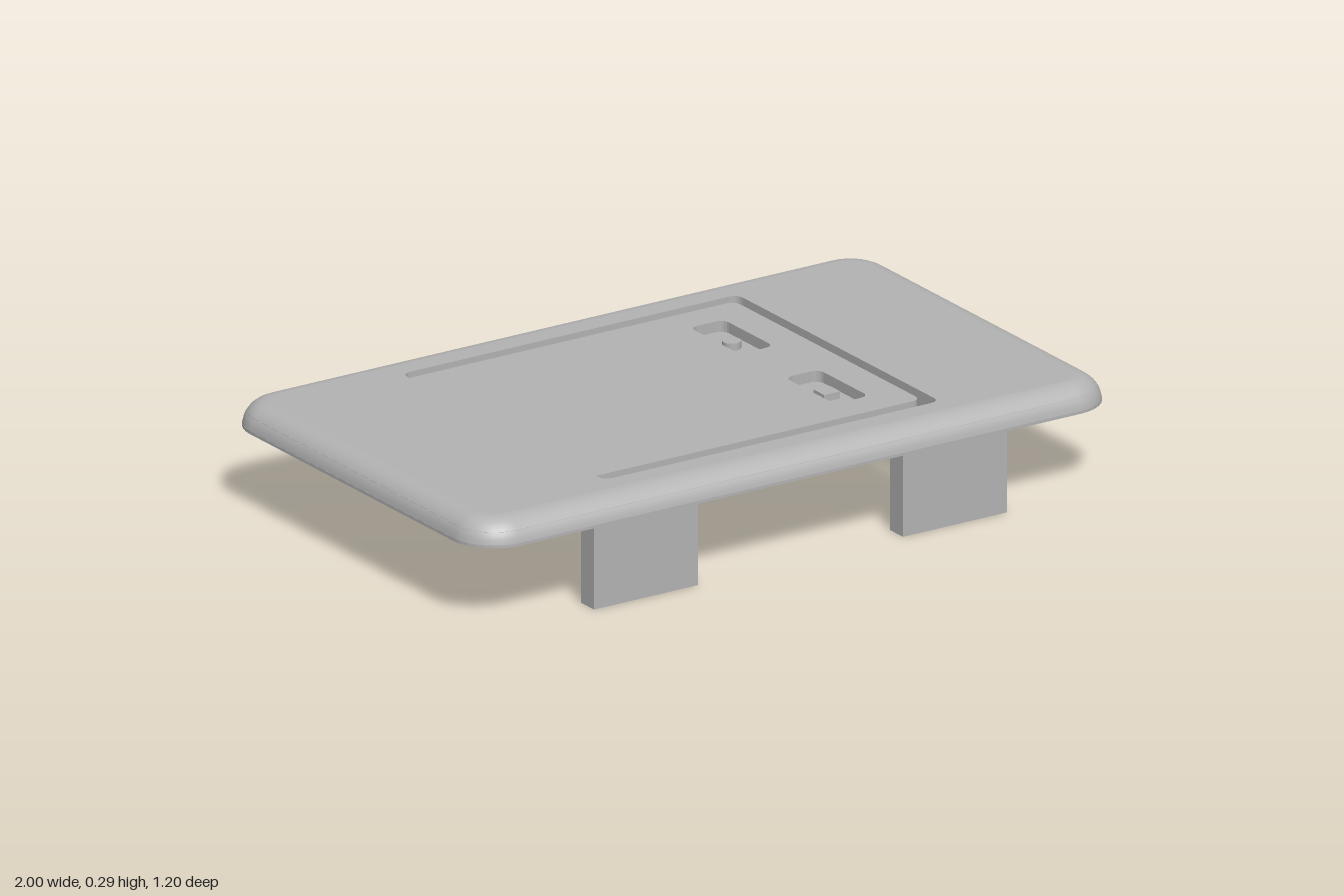
import * as THREE from 'three';

const R = 0.07, BASE = 0.225, TOP = 0.295, FLOOR = 0.233, POCKET = 0.265;

// Counter-clockwise outline points of a rounded rectangle
function roundedRect(cx, cy, hx, hy, r, seg = 8) {
  const pts = [];
  [[1, 1], [-1, 1], [-1, -1], [1, -1]].forEach(([sx, sy], q) => {
    for (let i = 0; i <= seg; i++) {
      const a = (q + i / seg) * Math.PI / 2;
      pts.push(new THREE.Vector2(cx + sx * (hx - r) + r * Math.cos(a), cy + sy * (hy - r) + r * Math.sin(a)));
    }
  });
  return pts;
}

const plateOutline = (inset) => roundedRect(0, 0, 1 - inset, 0.6 - inset, 0.125 - inset);

// U-shaped slot that frees the tongue
function slotPath() {
  const p = new THREE.Path(), o = 0.472, n = 0.435, r = 0.03;
  p.moveTo(-0.5, -o);
  p.lineTo(0.52 - r, -o);
  p.quadraticCurveTo(0.52, -o, 0.52, -o + r);
  p.lineTo(0.52, o - r);
  p.quadraticCurveTo(0.52, o, 0.52 - r, o);
  p.lineTo(-0.5, o);
  p.quadraticCurveTo(-0.53, o, -0.53, n);
  p.lineTo(0.487 - r, n);
  p.quadraticCurveTo(0.487, n, 0.487, n - r);
  p.lineTo(0.487, -n + r);
  p.quadraticCurveTo(0.487, -n, 0.487 - r, -n);
  p.lineTo(-0.53, -n);
  p.quadraticCurveTo(-0.53, -o, -0.5, -o);
  return p;
}

// Horizontal slab between two heights, with holes
function slab(points, holes, y0, y1) {
  const shape = new THREE.Shape(points);
  shape.holes.push(...holes);
  const g = new THREE.ExtrudeGeometry(shape, { depth: y1 - y0, bevelEnabled: false, curveSegments: 6 });
  return g.rotateX(-Math.PI / 2).translate(0, y0, 0);
}

// Quarter-round border lofted from inset outlines
function roundedBorder() {
  const steps = 8, pos = [], idx = [];
  const start = Math.asin((FLOOR - BASE) / R);
  let n = 0;
  for (let i = 0; i <= steps; i++) {
    const a = start + (Math.PI / 2 - start) * i / steps;
    const ring = plateOutline(R * (1 - Math.cos(a)));
    n = ring.length;
    ring.forEach((p) => pos.push(p.x, BASE + R * Math.sin(a), -p.y));
  }
  for (let i = 0; i < steps; i++) {
    for (let j = 0; j < n; j++) {
      const a = i * n + j, b = i * n + (j + 1) % n;
      idx.push(a, b, b + n, a, b + n, a + n);
    }
  }
  const g = new THREE.BufferGeometry();
  g.setAttribute('position', new THREE.Float32BufferAttribute(pos, 3));
  g.setIndex(idx);
  g.computeVertexNormals();
  return g;
}

export function createModel() {
  const model = new THREE.Group();
  model.name = 'latchCover';
  const grey = new THREE.MeshStandardMaterial({ color: 0xb3b3b3 });
  grey.name = 'plain grey';
  const add = (name, geometry) => {
    const m = new THREE.Mesh(geometry, grey);
    m.name = name;
    model.add(m);
    return m;
  };
  const box = (name, x0, x1, y0, y1, z0, z1) =>
    add(name, new THREE.BoxGeometry(x1 - x0, y1 - y0, z1 - z0)
      .translate((x0 + x1) / 2, (y0 + y1) / 2, (z0 + z1) / 2));

  // Cover plate: rounded border, then layers from the top face down
  add('plateBorder', roundedBorder());
  const pockets = [-0.222, 0.222].map((y) => new THREE.Path(roundedRect(0.335, y, 0.053, 0.117, 0.025, 5)));
  add('plateTop', slab(plateOutline(R), [slotPath(), ...pockets], POCKET, TOP));
  add('plateCore', slab(plateOutline(0.0125), [slotPath()], FLOOR, POCKET));
  add('plateFloor', slab(plateOutline(0.003), [slotPath()], FLOOR, 0.24));

  // Underside skin with a shallow channel open at the latch end
  const skin = plateOutline(0);
  const channel = [[1, -0.41], [-0.41, -0.4], [-0.41, 0.4], [1, 0.41]].map(([x, y]) => new THREE.Vector2(x, y));
  const slots = [-1, 1].map((s) => new THREE.Path(roundedRect(-0.005, s * 0.4535, 0.525, 0.0185, 0.015, 3)));
  add('undersideSkin', slab([...skin, ...channel], slots, BASE, FLOOR));

  // Pegs inside the two finger pockets
  add('roundPeg', new THREE.CylinderGeometry(0.025, 0.025, 0.02, 24).translate(0.335, POCKET + 0.01, -0.222));
  box('squarePeg', 0.31, 0.36, POCKET, POCKET + 0.02, 0.197, 0.247);

  // Shallow frame beneath the tongue
  const frameHole = new THREE.Path(roundedRect(0.367, 0, 0.097, 0.18, 0.004, 1));
  add('tongueFrame', slab(roundedRect(0.367, 0, 0.117, 0.2, 0.004, 1), [frameHole], 0.22, FLOOR));

  // Four legs and the cross bar between the latch-end pair
  for (const sx of [-1, 1]) {
    for (const sz of [-1, 1]) {
      const leg = box('leg', -0.1625, 0.1625, 0, 0.23, -0.03, 0.03);
      leg.position.set(sx * 0.4825, 0, sz * 0.57);
    }
  }
  box('crossBar', 0.53, 0.645, 0.15, 0.234, -0.54, 0.54);
  return model;
}
